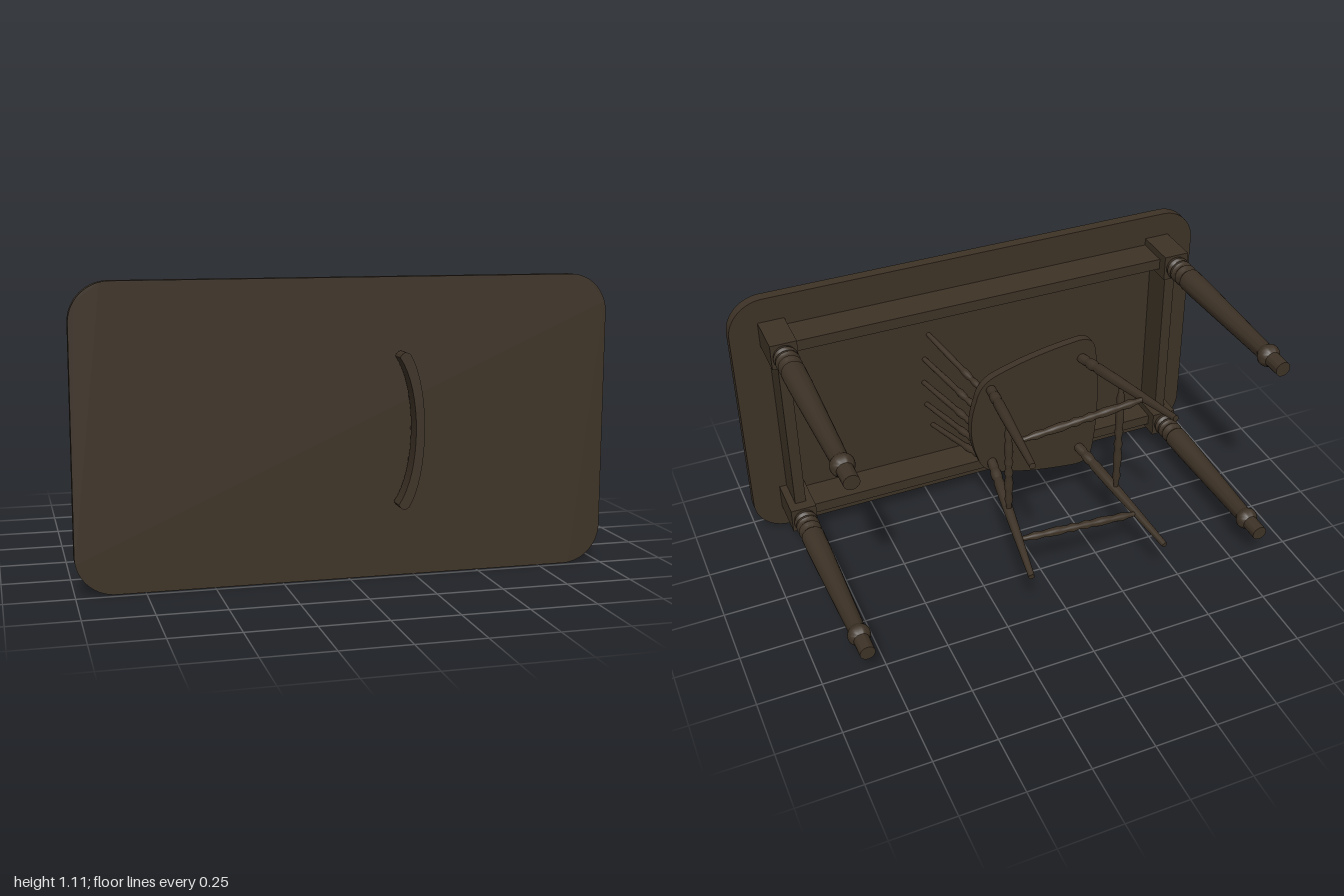
import * as THREE from 'three';
import { toCreasedNormals } from 'three/addons/utils/BufferGeometryUtils.js';

const CY = 0.555; // mid height of the tipped-over table
const wood = new THREE.MeshStandardMaterial({ color: 0x3d3226 });
wood.name = 'darkWood';

export function createModel() {
  const root = new THREE.Group();
  const table = new THREE.Group();
  table.name = 'table';
  const chair = new THREE.Group();
  chair.name = 'chair';
  root.add(table, chair);

  function add(parent, name, geometry, x = 0, y = 0, z = 0) {
    const mesh = new THREE.Mesh(geometry, wood);
    mesh.name = name;
    mesh.position.set(x, y, z);
    parent.add(mesh);
    return mesh;
  }

  // Turned piece between two points; profile is [fraction along, radius]
  function turned(parent, name, a, b, profile, sides = 20) {
    const from = new THREE.Vector3(...a);
    const dir = new THREE.Vector3(...b).sub(from);
    const len = dir.length();
    const pts = profile.map(([t, r]) => new THREE.Vector2(r, t * len));
    pts.unshift(new THREE.Vector2(0, pts[0].y));
    pts.push(new THREE.Vector2(0, pts[pts.length - 1].y));
    const geo = toCreasedNormals(new THREE.LatheGeometry(pts, sides), 0.6);
    const mesh = add(parent, name, geo, ...a);
    mesh.quaternion.setFromUnitVectors(new THREE.Vector3(0, 1, 0), dir.normalize());
  }

  function slab(shape, depth) {
    const geo = new THREE.ExtrudeGeometry(shape, { depth, bevelEnabled: false, curveSegments: 16 });
    return toCreasedNormals(geo, 0.6);
  }

  // Table top with rounded corners
  const w = 1, h = 0.555, r = 0.145;
  const top = new THREE.Shape();
  top.absarc(w - r, h - r, r, 0, Math.PI / 2);
  top.absarc(-w + r, h - r, r, Math.PI / 2, Math.PI);
  top.absarc(-w + r, -h + r, r, Math.PI, Math.PI * 1.5);
  top.absarc(w - r, -h + r, r, Math.PI * 1.5, Math.PI * 2);
  top.closePath();
  add(table, 'tableTop', slab(top, 0.044), 0, CY, 0.435);

  // Apron rails, corner blocks and turned legs
  const legX = 0.832, legY = 0.402;
  const legProfile = [
    [0, 0.044], [0.012, 0.045], [0.02, 0.048], [0.028, 0.045], [0.036, 0.039], [0.047, 0.047], [0.062, 0.048],
    [0.076, 0.041], [0.084, 0.041], [0.094, 0.047], [0.104, 0.047], [0.116, 0.041], [0.134, 0.041],
    [0.144, 0.047], [0.26, 0.046], [0.84, 0.033], [0.85, 0.038], [0.864, 0.044], [0.875, 0.045],
    [0.89, 0.043], [0.902, 0.037], [0.912, 0.031], [1, 0.03],
  ];
  for (const s of [-1, 1]) {
    add(table, 'longApron', new THREE.BoxGeometry(legX * 2 - 0.1, 0.045, 0.133), 0, CY + s * legY, 0.3695);
    add(table, 'shortApron', new THREE.BoxGeometry(0.045, legY * 2 - 0.1, 0.133), s * legX, CY, 0.3695);
    for (const t of [-1, 1]) {
      const x = s * legX, y = CY + t * legY;
      add(table, 'legBlock', new THREE.BoxGeometry(0.105, 0.105, 0.177), x, y, 0.3475);
      turned(table, 'tableLeg', [x, y, 0.26], [x, y, -0.56], legProfile, 28);
    }
  }

  // Chair seat: wide at the front (-x), narrower at the back
  const seat = new THREE.Shape();
  seat.moveTo(-0.38, 0);
  seat.quadraticCurveTo(-0.38, 0.15, -0.36, 0.26);
  seat.quadraticCurveTo(-0.35, 0.31, -0.29, 0.31);
  seat.quadraticCurveTo(-0.08, 0.29, 0.07, 0.235);
  seat.quadraticCurveTo(0.135, 0.21, 0.15, 0.14);
  seat.quadraticCurveTo(0.175, 0.07, 0.175, 0);
  seat.quadraticCurveTo(0.175, -0.07, 0.15, -0.14);
  seat.quadraticCurveTo(0.135, -0.21, 0.07, -0.235);
  seat.quadraticCurveTo(-0.08, -0.29, -0.29, -0.31);
  seat.quadraticCurveTo(-0.35, -0.31, -0.36, -0.26);
  seat.quadraticCurveTo(-0.38, -0.15, -0.38, 0);
  add(chair, 'seat', slab(seat, 0.033), 0, CY, 0.041);

  // Splayed chair legs and turned stretchers
  const chairLeg = [
    [0, 0.019], [0.06, 0.021], [0.09, 0.018], [0.11, 0.022], [0.15, 0.023], [0.18, 0.018],
    [0.21, 0.022], [0.4, 0.021], [0.62, 0.018], [0.8, 0.015], [1, 0.012],
  ];
  const stretcher = [
    [0, 0.009], [0.08, 0.011], [0.13, 0.017], [0.2, 0.013], [0.25, 0.016], [0.33, 0.018], [0.4, 0.013],
    [0.44, 0.018], [0.5, 0.012], [0.56, 0.018], [0.6, 0.013], [0.67, 0.018], [0.75, 0.016],
    [0.8, 0.013], [0.87, 0.017], [0.92, 0.011], [1, 0.009],
  ];
  const legs = {
    front: [[-0.3, 0.222, 0.05], [-0.39, 0.307, -0.56]],
    back: [[0.088, 0.178, 0.05], [0.178, 0.265, -0.56]],
  };
  // Point on a chair leg at depth z, on side s
  function onLeg(name, z, s) {
    const [a, b] = legs[name];
    const t = (z - a[2]) / (b[2] - a[2]);
    return [a[0] + (b[0] - a[0]) * t, CY + s * (a[1] + (b[1] - a[1]) * t), z];
  }
  for (const name of ['front', 'back']) {
    for (const s of [-1, 1]) turned(chair, name + 'ChairLeg', onLeg(name, 0.05, s), onLeg(name, -0.56, s), chairLeg, 16);
    turned(chair, name + 'Stretcher', onLeg(name, -0.227, -1), onLeg(name, -0.227, 1), stretcher, 16);
  }
  for (const s of [-1, 1]) turned(chair, 'sideStretcher', onLeg('front', -0.375, s), onLeg('back', -0.375, s), stretcher, 16);

  // Fanned back spindles
  const spindle = [
    [0, 0.009], [0.06, 0.012], [0.12, 0.015], [0.17, 0.011], [0.21, 0.015], [0.27, 0.016], [0.32, 0.012],
    [0.5, 0.013], [0.75, 0.011], [1, 0.008],
  ];
  for (let i = -2; i <= 2; i++) {
    const bow = (i * i) / 4;
    turned(chair, 'backSpindle', [0.145 - 0.03 * bow, CY + i * 0.084, 0.06],
      [0.247 - 0.03 * bow, CY + i * 0.12, 0.51], spindle, 12);
  }

  // Curved crest rail
  const rail = new THREE.Shape();
  rail.moveTo(0.165, -0.27);
  rail.quadraticCurveTo(0.18, -0.3, 0.205, -0.28);
  rail.bezierCurveTo(0.28, -0.16, 0.28, 0.16, 0.205, 0.28);
  rail.quadraticCurveTo(0.18, 0.3, 0.165, 0.27);
  rail.bezierCurveTo(0.25, 0.15, 0.25, -0.15, 0.165, -0.27);
  add(chair, 'crestRail', slab(rail, 0.063), 0, CY, 0.497);

  return root;
}
